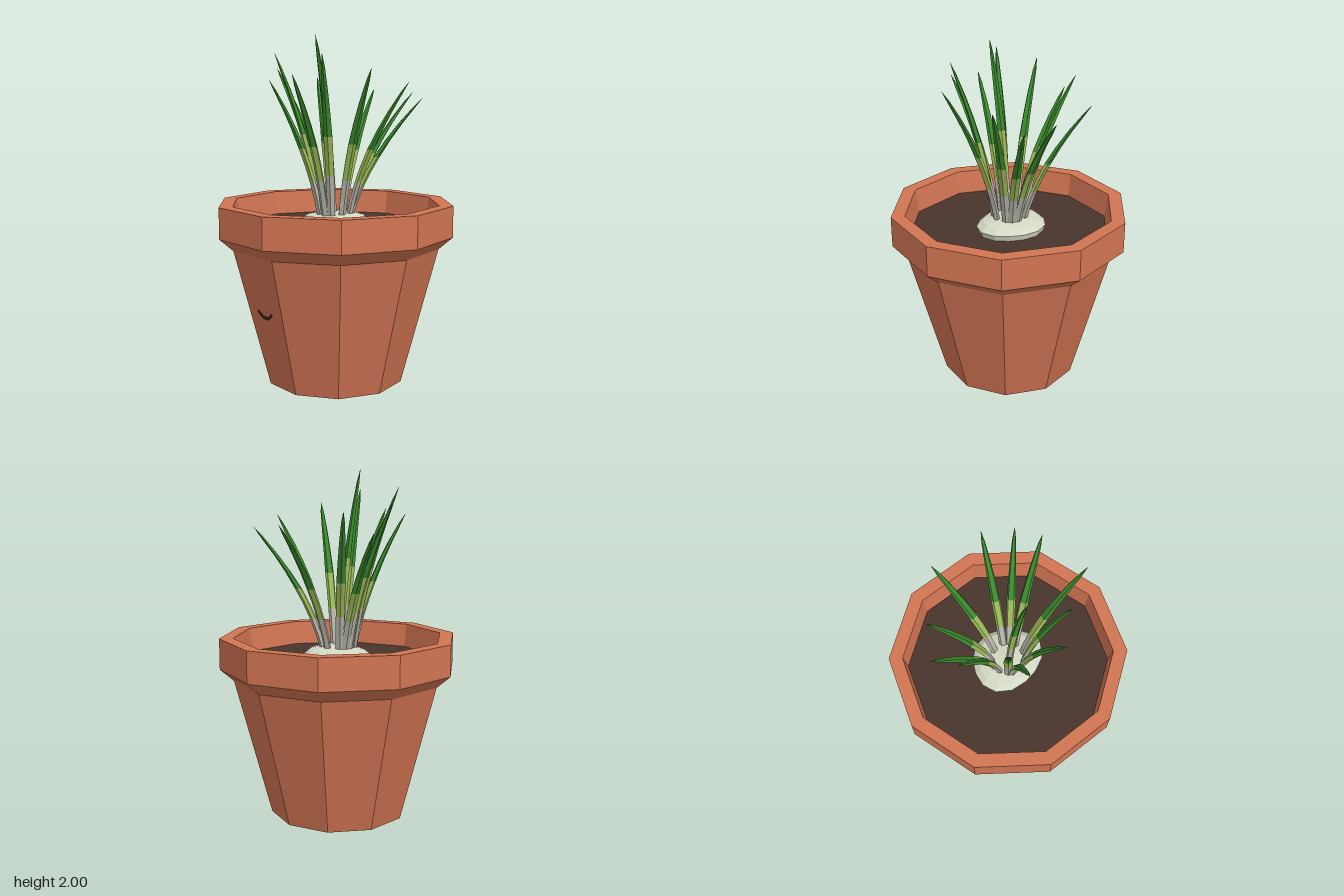
import * as THREE from 'three';

const flat = (name, color, side = THREE.FrontSide) => {
  const m = new THREE.MeshStandardMaterial({ color, flatShading: true, side });
  m.name = name;
  return m;
};

export function createModel() {
  const terracotta = flat('terracotta', 0xd27553);
  const soilBrown = flat('soil brown', 0x48352d);
  const bulbCream = flat('bulb cream', 0xd3d8c4);
  const stemGrey = flat('stem grey', 0xb6b5a9, THREE.DoubleSide);
  const paleGreen = flat('pale green', 0x9cba58, THREE.DoubleSide);
  const leafGreen = flat('leaf green', 0x3c8a2e, THREE.DoubleSide);
  const smileDark = flat('smile dark', 0x3a302d);

  const model = new THREE.Group();
  model.name = 'pottedPlant';
  const add = (parent, name, geometry, material) => {
    const mesh = new THREE.Mesh(geometry, material);
    mesh.name = name;
    parent.add(mesh);
    return mesh;
  };

  // Ten-sided pot with an overhanging rim and an inner wall
  const profile = [[0, 0], [0.4, 0], [0.61, 0.8], [0.69, 0.87], [0.69, 1.05], [0.61, 1.05], [0.59, 0.9]]
    .map(([r, y]) => new THREE.Vector2(r, y));
  add(model, 'pot', new THREE.LatheGeometry(profile, 10, Math.PI / 2), terracotta);

  // Soil disc
  const soil = new THREE.CircleGeometry(0.595, 10);
  soil.rotateX(-Math.PI / 2);
  soil.translate(0, 0.91, 0);
  add(model, 'soil', soil, soilBrown);

  // Lumpy flattened bulb: rings of a lathe pushed in and out
  const bulbProfile = [[0.19, 0.9], [0.205, 0.945], [0.17, 0.972], [0.09, 0.99], [0, 1.0]]
    .map(([r, y]) => new THREE.Vector2(r, y));
  const bulb = new THREE.LatheGeometry(bulbProfile, 14);
  const bp = bulb.attributes.position;
  for (let i = 0; i < bp.count; i++) {
    const x = bp.getX(i), z = bp.getZ(i), a = Math.atan2(z, x);
    const k = 1 + 0.05 * Math.sin(3 * a + 0.6) + 0.04 * Math.cos(7 * a);
    bp.setXYZ(i, x * k * 1.05, bp.getY(i), z * k * 0.92 - 0.015);
  }
  add(model, 'bulb', bulb, bulbCream);

  // Curved tapering leaves, each in three coloured bands
  const leaves = new THREE.Group();
  leaves.name = 'leaves';
  model.add(leaves);
  const taper = [[0, 0.024], [0.28, 0.026], [0.52, 0.027], [0.76, 0.02], [0.93, 0.011], [1, 0.001]];
  const radiusAt = (t) => {
    let i = 1;
    while (i < taper.length - 1 && t > taper[i][0]) i++;
    const [t0, r0] = taper[i - 1], [t1, r1] = taper[i];
    return THREE.MathUtils.mapLinear(t, t0, t1, r0, r1);
  };
  const bands = [
    ['leafBase', 0, 0.28, 2, stemGrey],
    ['leafMiddle', 0.28, 0.52, 2, paleGreen],
    ['leafBlade', 0.52, 0.93, 3, leafGreen],
    ['leafTip', 0.93, 1, 1, leafGreen],
  ];
  const makeLeaf = (tip, baseRadius) => {
    const leaf = new THREE.Group();
    leaf.name = 'leaf';
    const out = new THREE.Vector3(tip.x, 0, tip.z).normalize();
    const side = new THREE.Vector3(0, 1, 0).cross(out);
    const reach = Math.hypot(tip.x, tip.z), baseY = 0.95;
    for (const [name, t0, t1, rows, material] of bands) {
      const g = new THREE.CylinderGeometry(1, 1, t1 - t0, 5, rows, true);
      g.translate(0, (t0 + t1) / 2, 0);
      const p = g.attributes.position, v = new THREE.Vector3();
      for (let i = 0; i < p.count; i++) {
        const t = THREE.MathUtils.clamp(p.getY(i), 0, 1), r = radiusAt(t);
        const d = baseRadius + (reach - baseRadius) * (0.42 * t + 0.58 * t * t);
        v.set(0, baseY + (tip.y - baseY) * t, 0)
          .addScaledVector(out, d + p.getZ(i) * r * 0.7)
          .addScaledVector(side, p.getX(i) * r);
        p.setXYZ(i, v.x, v.y, v.z);
      }
      add(leaf, name, g, material);
    }
    leaves.add(leaf);
  };
  const tips = [
    [-0.16, 1.7, -0.44], [0.17, 1.68, -0.45], [0.335, 1.65, -0.37], [0.39, 1.74, -0.21],
    [0.43, 1.81, 0.1], [0.2, 1.89, 0.25], [0.08, 1.78, 0.36], [-0.145, 1.75, 0.355],
    [-0.21, 1.9, 0.27], [-0.4, 1.82, 0.12], [-0.47, 1.66, -0.035], [-0.385, 1.77, -0.17],
  ];
  for (const [x, y, z] of tips) makeLeaf(new THREE.Vector3(x, y, z), 0.085);
  makeLeaf(new THREE.Vector3(0, 2, 0.14), 0.01);

  // Thin crescent smile lying on the sloped front face
  const smile = new THREE.Shape();
  smile.moveTo(-0.07, 0.025);
  smile.quadraticCurveTo(0, -0.06, 0.07, 0.025);
  smile.lineTo(0.06, 0.03);
  smile.quadraticCurveTo(0, -0.03, -0.06, 0.03);
  smile.closePath();
  const mouth = add(model, 'smile',
    new THREE.ExtrudeGeometry(smile, { depth: 0.008, bevelEnabled: false, curveSegments: 8 }), smileDark);
  const y = 0.445;
  mouth.position.set(0, y, (0.4 + 0.21 * y / 0.8) * Math.cos(Math.PI / 10) - 0.002);
  mouth.rotation.x = Math.atan(0.21 * Math.cos(Math.PI / 10) / 0.8);

  return model;
}
